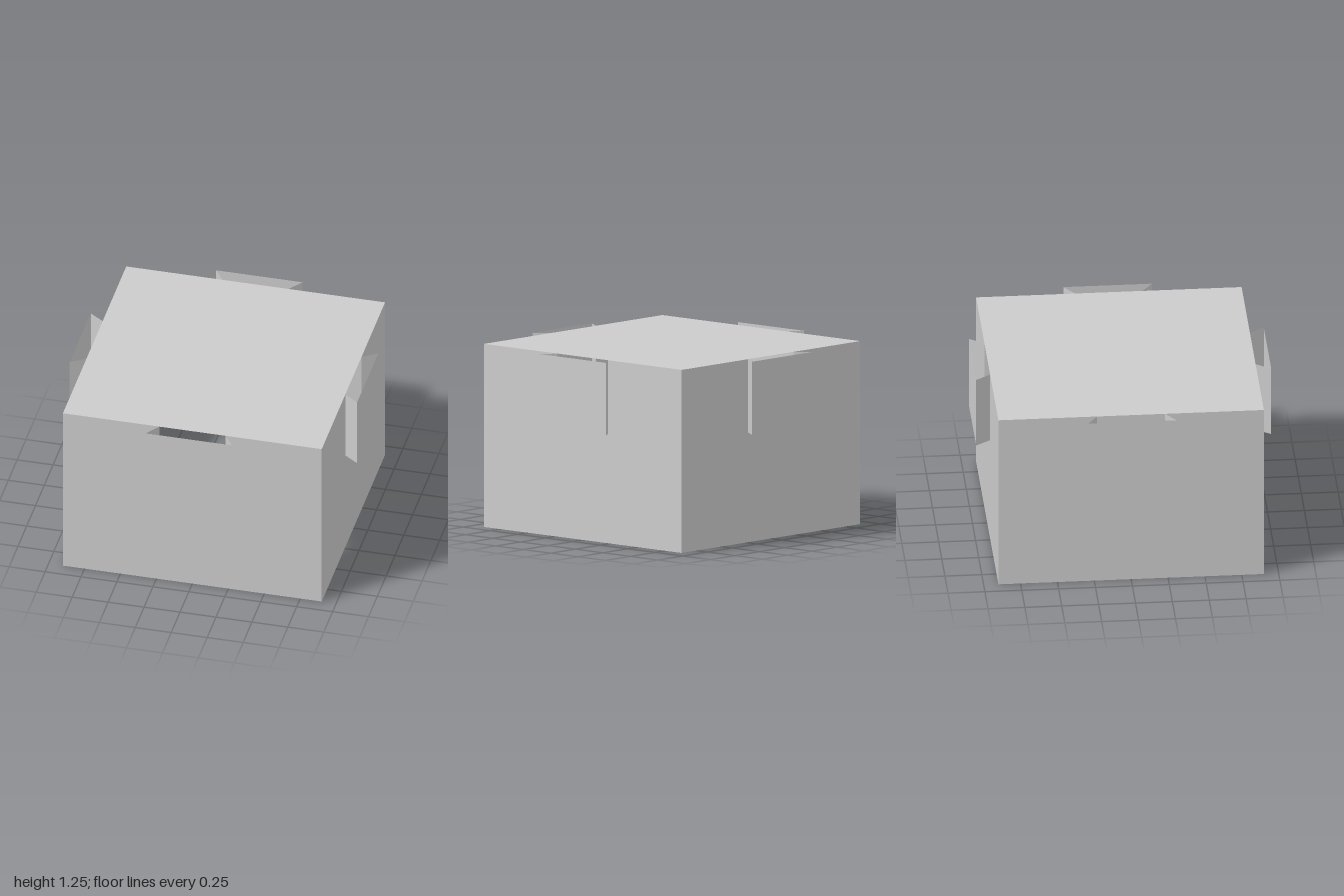
import * as THREE from 'three';

const HALF = 0.9;      // half width of the box
const TOP = 1.25;      // height of the box
const SILL = 0.75;     // bottom of the openings and hoods
const INNER = 0.23;    // half width of an opening
const OUTER = 0.3;     // half width of a hood's front plate
const REACH = 1.0;     // distance of the front plate from the centre

const material = new THREE.MeshStandardMaterial({
  color: 0xcccccc, side: THREE.DoubleSide, flatShading: true,
});

function part(name, geometry) {
  const mesh = new THREE.Mesh(geometry, material);
  mesh.name = name;
  return mesh;
}

// Thin wall with a notch cut down from its top edge
function wallGeometry() {
  const outline = [
    [-HALF, 0], [HALF, 0], [HALF, TOP], [INNER, TOP],
    [INNER, SILL], [-INNER, SILL], [-INNER, TOP], [-HALF, TOP],
  ].map(([x, y]) => new THREE.Vector2(x, y));
  return new THREE.ShapeGeometry(new THREE.Shape(outline)).translate(0, 0, HALF);
}

// Folded strip, open above and below: flared cheek, front plate, flared cheek
function hoodGeometry() {
  const plan = [[-INNER, HALF], [-OUTER, REACH], [OUTER, REACH], [INNER, HALF]];
  const positions = [];
  for (let i = 0; i < plan.length - 1; i++) {
    const [ax, az] = plan[i];
    const [bx, bz] = plan[i + 1];
    positions.push(ax, SILL, az, bx, SILL, bz, bx, TOP, bz);
    positions.push(ax, SILL, az, bx, TOP, bz, ax, TOP, az);
  }
  const geometry = new THREE.BufferGeometry();
  geometry.setAttribute('position', new THREE.Float32BufferAttribute(positions, 3));
  geometry.computeVertexNormals();
  return geometry;
}

export function createModel() {
  const model = new THREE.Group();
  model.name = 'hoodedBox';

  // Flat roof; the box is open underneath
  const roof = new THREE.PlaneGeometry(2 * HALF, 2 * HALF);
  roof.rotateX(-Math.PI / 2).translate(0, TOP, 0);
  model.add(part('roof', roof));

  // Four identical sides, each a notched wall with its hood
  const wall = wallGeometry();
  const hood = hoodGeometry();
  ['front', 'left', 'back', 'right'].forEach((name, i) => {
    const side = new THREE.Group();
    side.name = name + 'Side';
    side.add(part(name + 'Wall', wall), part(name + 'Hood', hood));
    side.rotation.y = i * Math.PI / 2;
    model.add(side);
  });

  return model;
}
